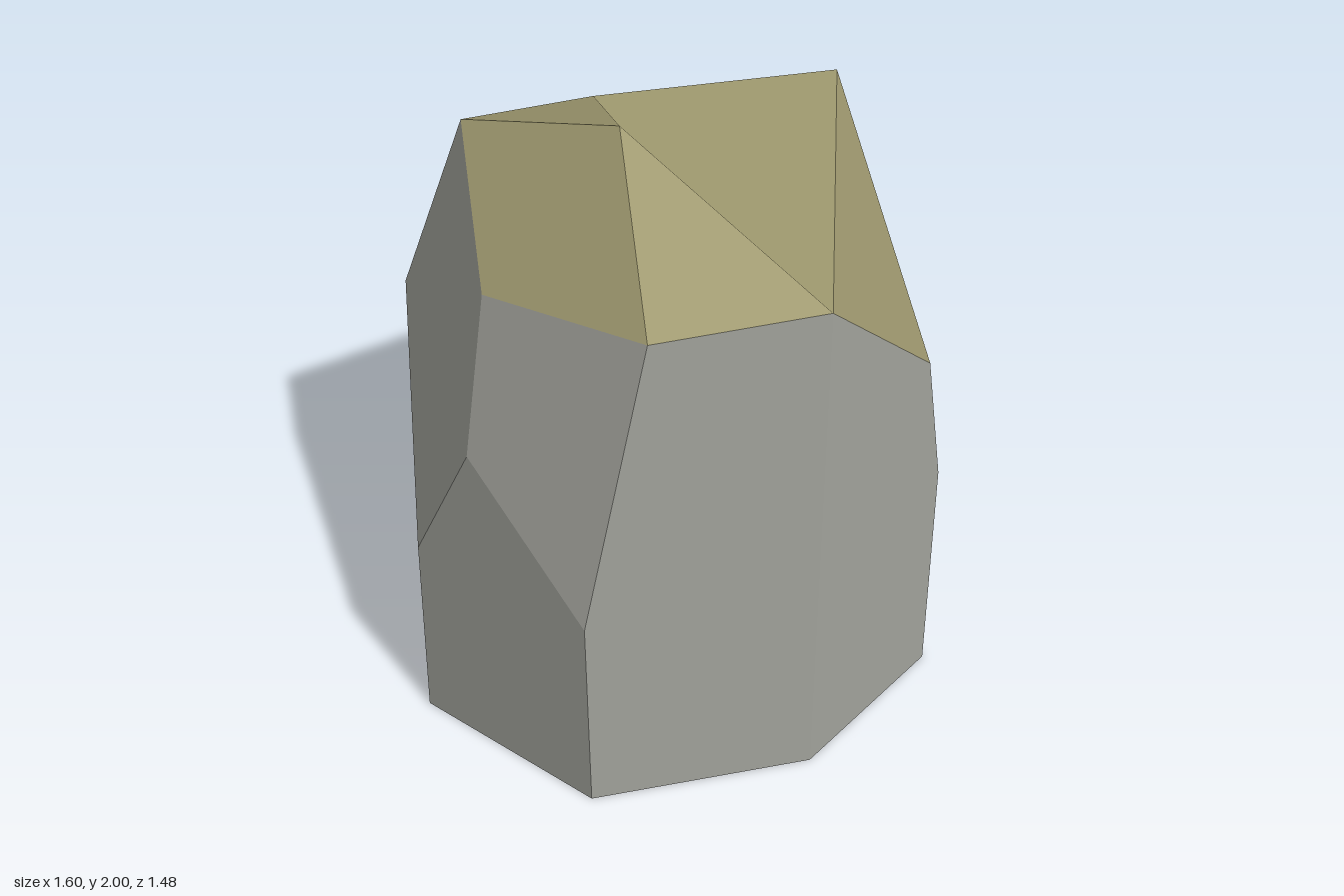
import * as THREE from 'three';

// Corner points of the faceted boulder
const P = {
  // ground ring
  a0: [0.18, 0, 0.735], b0: [0.755, 0, 0.475], c0: [0.8, 0, -0.16], d0: [0.33, 0, -0.74],
  e0: [-0.56, 0, -0.675], f0: [-0.8, 0, -0.04], g0: [-0.51, 0, 0.585],
  // middle breaks
  b1: [0.755, 0.77, 0.475], d1: [0.33, 0.69, -0.74], e1: [-0.575, 1.23, -0.625],
  f1: [-0.8, 0.65, -0.04], g1: [-0.535, 0.72, 0.615], x1: [-0.72, 1.15, 0.22],
  // moss border
  q: [0.18, 1.69, 0.735], r: [-0.375, 1.735, 0.71], v: [-0.57, 1.55, 0.02],
  s: [-0.415, 1.84, -0.48], u: [0.1, 1.715, -0.65], p: [0.74, 1.855, -0.235],
  t: [0.605, 1.31, 0.6], w: [0.78, 1.31, 0.13],
  // summit
  k: [-0.13, 2, 0.03],
};

const stoneFaces = [
  'g0 a0 q r g1', 'a0 b0 b1 t q', 'b0 c0 p w b1', 'b1 w t', // front and +x side
  'c0 d0 d1 p', 'd1 u p', 'd0 e0 e1 d1', 'e1 s u d1', // back
  'e0 f0 f1 e1', 'e1 f1 x1 v s', 'f0 g0 g1 x1 f1', 'g1 r v x1', // -x side
];
const mossFaces = ['k s u', 'u k q p', 'k q r', 'k r v s', 'p q t w'];

// Fans each polygon into triangles that share one averaged normal
function facets(faces) {
  const pos = [], nor = [];
  const middle = new THREE.Vector3(0, 0.9, 0);
  for (const face of faces) {
    const pts = face.split(' ').map((n) => new THREE.Vector3(...P[n]));
    const normal = new THREE.Vector3(), centre = new THREE.Vector3();
    pts.forEach((pt, i) => {
      normal.add(pt.clone().cross(pts[(i + 1) % pts.length]));
      centre.addScaledVector(pt, 1 / pts.length);
    });
    if (normal.dot(centre.sub(middle)) < 0) {
      normal.negate();
      pts.push(...pts.splice(1).reverse()); // keep the fan corner, reverse the order
    }
    normal.normalize();
    for (let i = 1; i < pts.length - 1; i++) {
      for (const pt of [pts[0], pts[i], pts[i + 1]]) {
        pos.push(...pt.toArray());
        nor.push(...normal.toArray());
      }
    }
  }
  const geometry = new THREE.BufferGeometry();
  geometry.setAttribute('position', new THREE.Float32BufferAttribute(pos, 3));
  geometry.setAttribute('normal', new THREE.Float32BufferAttribute(nor, 3));
  return geometry;
}

export function createModel() {
  const group = new THREE.Group();
  group.name = 'boulder';
  // The shell is open underneath, so both sides show
  const stone = new THREE.MeshStandardMaterial({ color: 0xa3a49d, side: THREE.DoubleSide });
  stone.name = 'grey stone';
  const moss = new THREE.MeshStandardMaterial({ color: 0xa09a70, side: THREE.DoubleSide });
  moss.name = 'olive moss';

  const body = new THREE.Mesh(facets(stoneFaces), stone);
  body.name = 'stoneBody';
  const cap = new THREE.Mesh(facets(mossFaces), moss);
  cap.name = 'mossCap';
  group.add(body, cap);
  return group;
}
